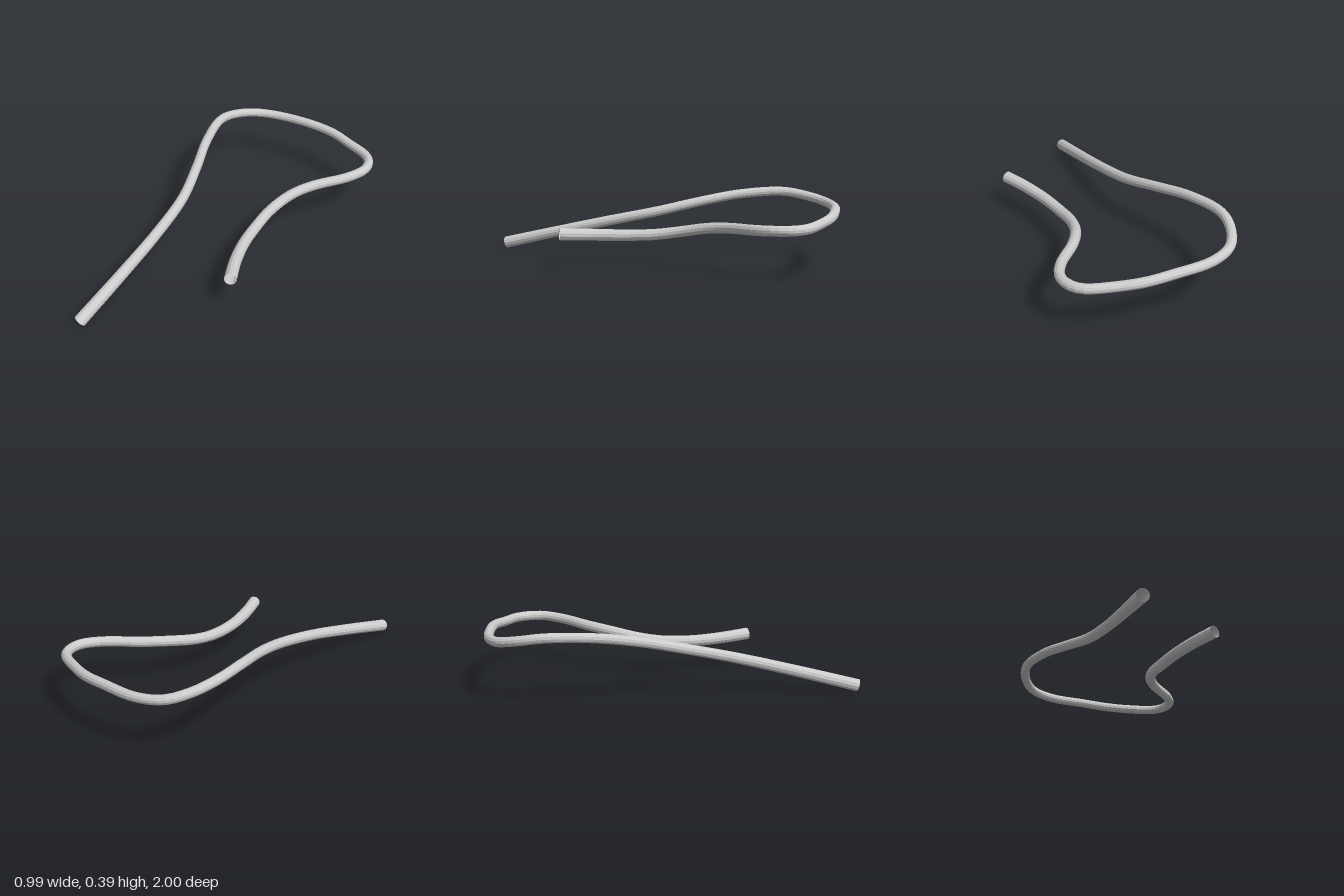
import * as THREE from 'three';

export function createModel() {
  const group = new THREE.Group();
  group.name = 'bentTube';

  const grey = new THREE.MeshStandardMaterial({ color: 0xcccccc, flatShading: true, side: THREE.DoubleSide });
  grey.name = 'lightGrey';

  // Centreline: long arm, round the back bend, short arm
  const curve = new THREE.CatmullRomCurve3([
    [-0.324, 0.031, 0.992], [-0.3, 0.112, 0.66], [-0.286, 0.187, 0.34], [-0.3, 0.249, 0.05],
    [-0.357, 0.305, -0.19], [-0.428, 0.347, -0.42], [-0.471, 0.362, -0.66], [-0.44, 0.343, -0.80],
    [-0.367, 0.321, -0.905], [-0.232, 0.309, -0.963], [-0.018, 0.306, -0.974], [0.138, 0.296, -0.961],
    [0.273, 0.282, -0.915], [0.408, 0.273, -0.855], [0.455, 0.27, -0.795], [0.466, 0.268, -0.71],
    [0.414, 0.261, -0.6], [0.273, 0.247, -0.44], [0.199, 0.232, -0.32], [0.149, 0.201, -0.16],
    [0.142, 0.18, -0.016], [0.159, 0.174, 0.16], [0.204, 0.178, 0.33], [0.262, 0.184, 0.478],
  ].map(p => new THREE.Vector3(...p)), false, 'centripetal');

  const segments = 110, sides = 12;
  const geometry = new THREE.TubeGeometry(curve, segments, 1, sides, false);

  // Thin the tube from both open ends towards the middle
  const pos = geometry.attributes.position;
  const v = new THREE.Vector3();
  for (let i = 0; i <= segments; i++) {
    const t = i / segments;
    const centre = curve.getPointAt(t);
    const radius = 0.026 + 0.008 * (2 * t - 1) ** 2;
    for (let j = 0; j <= sides; j++) {
      const k = i * (sides + 1) + j;
      v.fromBufferAttribute(pos, k).sub(centre).multiplyScalar(radius).add(centre);
      pos.setXYZ(k, v.x, v.y, v.z);
    }
  }
  geometry.computeVertexNormals();

  const tube = new THREE.Mesh(geometry, grey);
  tube.name = 'tube';
  group.add(tube);
  return group;
}
